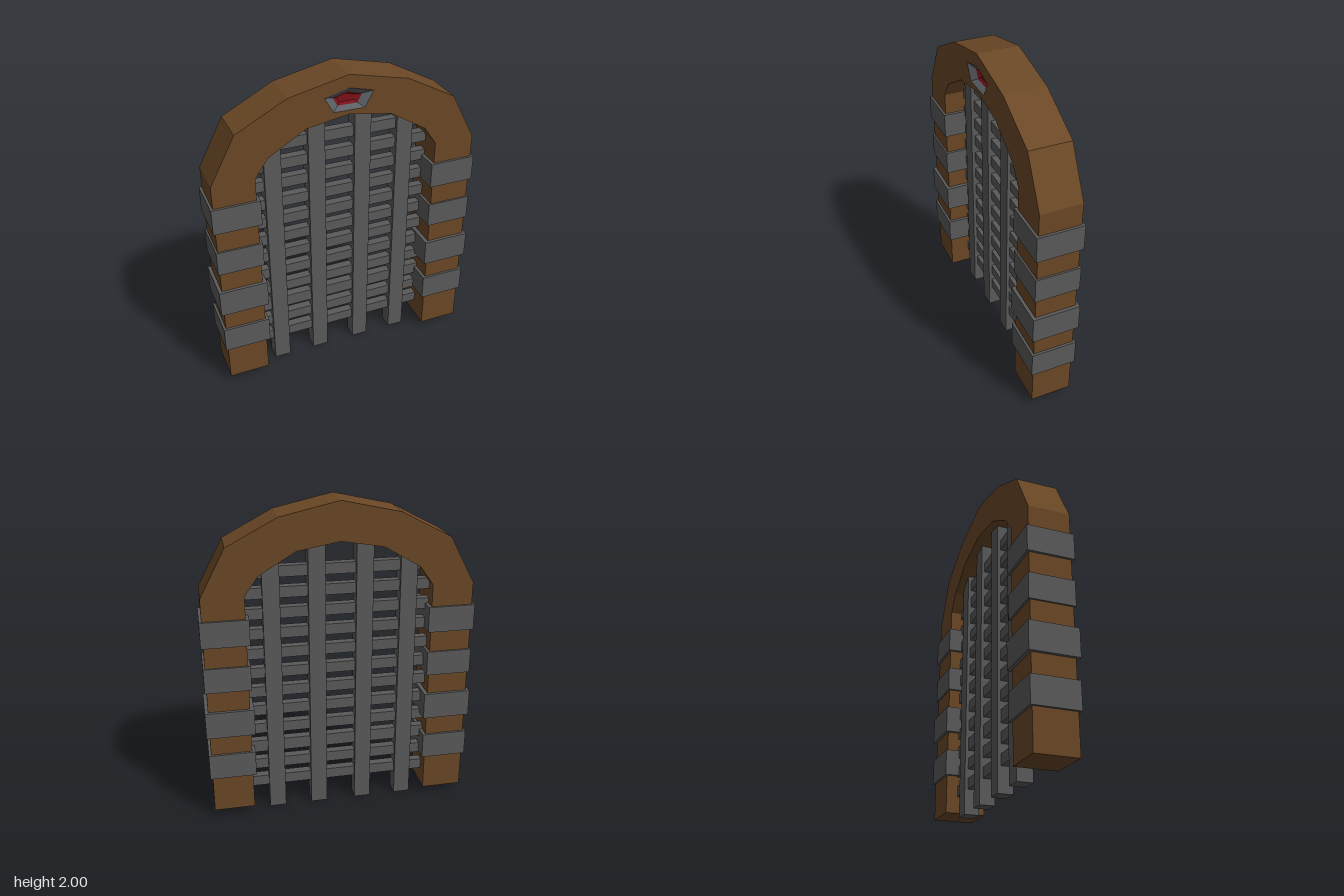
import * as THREE from 'three';

const mat = (color) => new THREE.MeshStandardMaterial({ color, flatShading: true });
const wood = mat(0x6b4826), iron = mat(0x5a5a5a), bezelMat = mat(0x5c6065), gemMat = mat(0x7c1018);

const toVec = (pts) => pts.map(([x, y]) => new THREE.Vector2(x, y));
// Full outline from its right half, listed bottom to top, ending on the centre line
const mirror = (half) => [...half, ...half.slice(0, -1).reverse().map(([x, y]) => [-x, y])];

function createModel() {
  const model = new THREE.Group();
  const add = (name, geometry, material) => {
    const mesh = new THREE.Mesh(geometry, material);
    mesh.name = name;
    model.add(mesh);
    return mesh;
  };
  const box = (name, x0, x1, y0, y1, z0, z1, material) =>
    add(name, new THREE.BoxGeometry(x1 - x0, y1 - y0, z1 - z0), material)
      .position.set((x0 + x1) / 2, (y0 + y1) / 2, (z0 + z1) / 2);

  // Wooden arch: the front layer carries the gem recess
  const outer = mirror([[0.82, 0.05], [0.82, 1.47], [0.665, 1.76], [0.36, 1.92], [0, 2]]);
  const inner = mirror([[0.565, 0.05], [0.565, 1.47], [0.485, 1.585], [0.26, 1.72], [0, 1.765]]);
  const bezelRing = mirror([[0.095, 1.79], [0.148, 1.885], [0, 1.922]]);
  const gemRing = mirror([[0.06, 1.813], [0.087, 1.864], [0, 1.89]]);
  const gemFloor = mirror([[0.045, 1.828], [0.062, 1.857], [0, 1.873]]);
  const layer = (name, z0, z1, hole) => {
    const shape = new THREE.Shape(toVec([...outer, ...inner.slice().reverse()]));
    if (hole) shape.holes.push(new THREE.Path(toVec(hole)));
    const geometry = new THREE.ExtrudeGeometry(shape, { depth: z1 - z0, bevelEnabled: false });
    add(name, geometry.translate(0, 0, z0), wood);
  };
  layer('archBack', -0.127, 0.07);
  layer('archFront', 0.07, 0.127, bezelRing);

  // Sunken bezel and gem: sloping walls between matching rings
  const slope = (name, ringA, zA, ringB, zB, material) => {
    const pos = [];
    ringA.forEach((a, i) => {
      const j = (i + 1) % ringA.length;
      const A = [...a, zA], B = [...ringA[j], zA], C = [...ringB[j], zB], D = [...ringB[i], zB];
      pos.push(...A, ...B, ...C, ...A, ...C, ...D);
    });
    const geometry = new THREE.BufferGeometry();
    geometry.setAttribute('position', new THREE.Float32BufferAttribute(pos, 3));
    geometry.computeVertexNormals();
    add(name, geometry, material);
  };
  slope('gemBezel', bezelRing, 0.127, gemRing, 0.097, bezelMat);
  slope('gemFacets', gemRing, 0.097, gemFloor, 0.085, gemMat);
  add('gemFace', new THREE.ShapeGeometry(new THREE.Shape(toVec(gemFloor))).translate(0, 0, 0.085), gemMat);

  // Iron bands around both posts: bottom height, top height, overhang
  const bands = [[0.29, 0.455, 0.015], [0.58, 0.75, 0.02], [0.88, 1.037, 0.011], [1.17, 1.332, 0.015]];
  for (const [y0, y1, out] of bands) {
    const z = 0.127 + out;
    box('leftBand', 0.56 - out, 0.82 + out, y0, y1, -z, z, iron);
    box('rightBand', -0.82 - out, -0.56 + out, y0, y1, -z, z, iron);
  }

  // Upright gate bars
  for (const [x, top] of [[-0.43, 1.69], [-0.158, 1.8], [0.133, 1.8], [0.407, 1.69]]) {
    box('uprightBar', x - 0.052, x + 0.052, 0, top, -0.075, 0.02, iron);
  }

  // Thinner crossbars set within the uprights
  for (let i = 0; i < 12; i++) {
    const y = 0.19 + i * 0.127;
    const h = i === 2 ? 0.04 : 0.034;
    box('crossBar', -0.58, 0.58, y - h, y + h, -0.055, 0, iron);
  }

  return model;
}

export { createModel };
